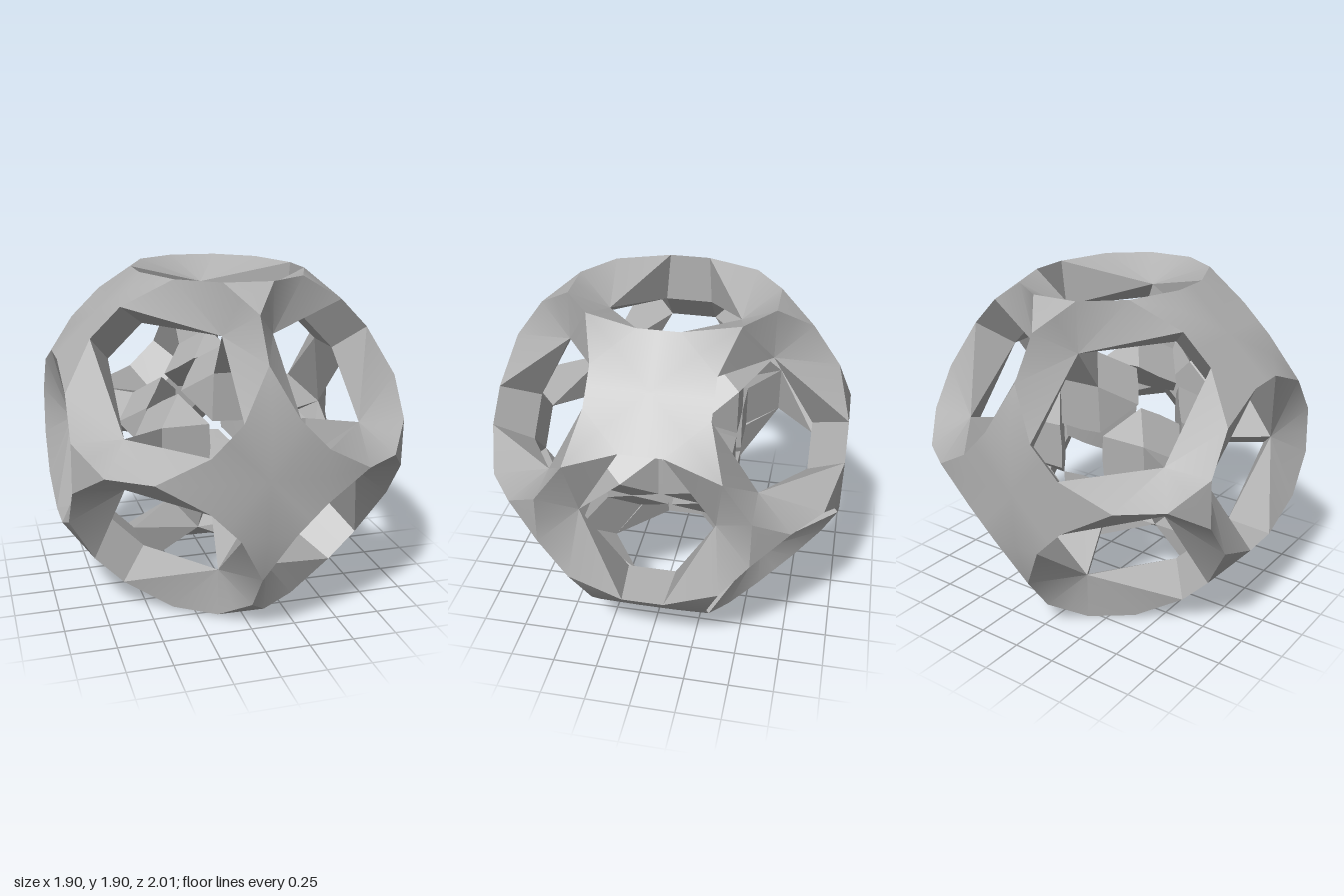
import * as THREE from 'three';
import { toCreasedNormals } from 'three/addons/utils/BufferGeometryUtils.js';

// The body has full cubic symmetry: each facet is given once, in the wedge
// a >= b >= c >= 0, and repeated by every axis permutation and sign flip.
const PERMS = [[0, 1, 2], [0, 2, 1], [1, 0, 2], [1, 2, 0], [2, 0, 1], [2, 1, 0]];

// facets: [outward hint, corner, corner, corner, ...]
function symmetric(facets) {
  const pos = [];
  const ab = new THREE.Vector3(), ac = new THREE.Vector3();
  for (const perm of PERMS) {
    for (let s = 0; s < 8; s++) {
      const sign = [s & 1 ? -1 : 1, s & 2 ? -1 : 1, s & 4 ? -1 : 1];
      const map = (p) => new THREE.Vector3(...perm.map((k, i) => sign[i] * p[k]));
      for (const [hint, ...corners] of facets) {
        const out = map(hint), pts = corners.map(map);
        for (let i = 1; i < pts.length - 1; i++) {
          let tri = [pts[0], pts[i], pts[i + 1]];
          ab.subVectors(tri[1], tri[0]);
          ac.subVectors(tri[2], tri[0]);
          if (ab.cross(ac).dot(out) < 0) tri = [tri[0], tri[2], tri[1]];
          tri.forEach((v) => pos.push(v.x, v.y, v.z));
        }
      }
    }
  }
  const geo = new THREE.BufferGeometry();
  geo.setAttribute('position', new THREE.Float32BufferAttribute(pos, 3));
  return toCreasedNormals(geo, 0.45);
}

export function createModel() {
  const grey = new THREE.MeshStandardMaterial({ color: 0xb0b0b0 });
  grey.name = 'plain grey';
  const frame = new THREE.Group();
  frame.name = 'windowedFrame';
  const add = (name, facets) => {
    const mesh = new THREE.Mesh(symmetric(facets), grey);
    mesh.name = name;
    frame.add(mesh);
  };

  // outer corners: star cap, strut ridge and hub
  const notchMid = [1, 0.325, 0], notch = [1, 0.325, 0.115];
  const starDiag = [1, 0.22, 0.22], tip = [0.917, 0.41, 0.41];
  const hub = [0.76, 0.566, 0.566], hubMid = [0.663, 0.663, 0.566], hubTop = [0.631, 0.631, 0.631];
  // inner corners: back of the star plate and throat of the window
  const back = [0.8, 0.135, 0.135], backMid = [0.8, 0.135, 0];
  const throat = [0.566, 0.566, 0.368], throatMid = [0.566, 0.467, 0.467];

  add('starCaps', [
    [[1, 0, 0], [1, 0, 0], notchMid, notch, starDiag],
    [[1, 0, 0], starDiag, notch, tip],
  ]);
  add('cornerTriangles', [[[1, 1, 1], hub, hubMid, hubTop]]);
  add('windowBands', [
    [[1, 1, 0], tip, hub, throat],
    [[1, 1, 0], notch, tip, throat],
    [[1, 1, -1], hub, hubMid, throat],
  ]);
  add('windowWalls', [
    [[-1, 1, 0], notchMid, notch, back, backMid],
    [[-1, 1, -3], notch, throat, back],
  ]);
  add('plateAndStrutBacks', [
    [[-1, 0, 0], [0.8, 0, 0], backMid, back],
    [[-1, -1, -1], back, throat, throatMid],
  ]);

  // inner corner blocks, joined to the hubs, around a hollow, almost touching
  const h = 0.385, t = 0.205, p = 0.2, gap = 0.012, m = (h + p) / 2, k = (h + p) / 3;
  const end = [h, p, gap], endMid = [m, m, gap], holeMid = [h, p / 2, p / 2];
  const split = [h, h, t], splitMid = [h, (h + t) / 2, (h + t) / 2];
  add('innerCornerBlocks', [
    [[2, -1, -1], throat, throatMid, splitMid, split],
    [[1, 0, 0], end, holeMid, splitMid, split],
    [[1, 1, 0], split, end, endMid],
    [[-1, -1, -1], end, endMid, [k, k, k], holeMid],
  ]);

  // turned an eighth about the front axis, with a very slight lean
  frame.rotation.set(-0.012, 0.013, Math.PI / 4 - 0.018);
  frame.position.y = 0.955;
  const model = new THREE.Group();
  model.name = 'polyhedralFrame';
  model.add(frame);
  return model;
}
